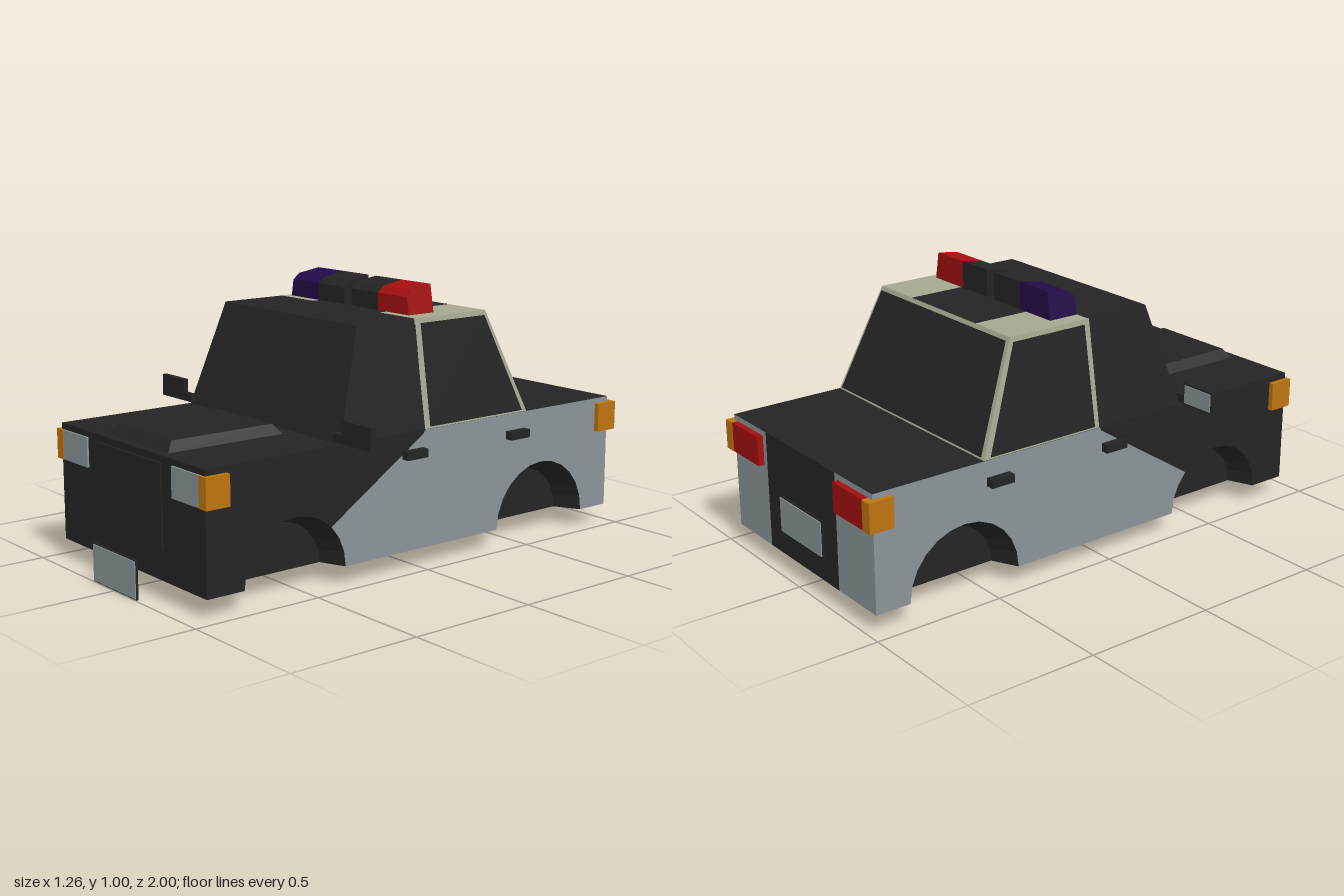
import * as THREE from 'three';

const mat = (name, color) => {
  const m = new THREE.MeshStandardMaterial({ color, side: THREE.DoubleSide, flatShading: true });
  m.name = name;
  return m;
};

export function createModel() {
  const black = mat('black paint', 0x242424);
  const grey = mat('grey paint', 0x8a9497);
  const cream = mat('cream roof', 0xa4a791);
  const red = mat('red lens', 0xa30f0f);
  const orange = mat('orange lens', 0xbe7410);
  const blue = mat('indigo lens', 0x230b48);

  const car = new THREE.Group();
  car.name = 'car';
  const add = (parent, name, geo, m) => {
    const mesh = new THREE.Mesh(geo, m);
    mesh.name = name;
    parent.add(mesh);
    return mesh;
  };
  // box given by its limits
  const box = (parent, name, m, x0, x1, y0, y1, z0, z1) =>
    add(parent, name, new THREE.BoxGeometry(x1 - x0, y1 - y0, z1 - z0), m)
      .position.set((x0 + x1) / 2, (y0 + y1) / 2, (z0 + z1) / 2);
  // convex flat face, corners anticlockwise from outside
  const face = (parent, name, m, pts) => {
    const g = new THREE.BufferGeometry();
    g.setAttribute('position', new THREE.Float32BufferAttribute(pts.flat(), 3));
    const index = [];
    for (let i = 1; i < pts.length - 1; i++) index.push(0, i, i + 1);
    g.setIndex(index);
    g.computeVertexNormals();
    return add(parent, name, g, m);
  };
  const flat = pts => new THREE.ShapeGeometry(new THREE.Shape(pts.map(p => new THREE.Vector2(...p))));
  // outline of [z, y] points facing +x
  const sidePanel = (parent, name, m, x, pts) =>
    add(parent, name, flat(pts.map(([z, y]) => [-z, y])).rotateY(Math.PI / 2).translate(x, 0, 0), m);

  const W = 0.457, B = 0.07, T = 0.505, F = 0.925, R = -0.975, WELL = 0.36, N = 12;
  const arches = [{ z: 0.56, r: 0.215, inner: 0.175 }, { z: -0.611, r: 0.228, inner: 0.18 }];
  const arc = (z, r, from = 0, to = N) => {
    const pts = [];
    for (let i = from; i <= to; i++) {
      const a = Math.PI * i / N;
      pts.push([z + r * Math.cos(a), B + r * Math.sin(a)]);
    }
    return pts;
  };
  const [fa, ra] = arches;

  // Everything that is the same on both sides
  const side = new THREE.Group();
  side.name = 'leftSide';
  sidePanel(side, 'frontFender', black, W,
    [[F, T], [F, B], ...arc(fa.z, fa.r, 0, 9), [-0.01, 0.49], [-0.02, T]]);
  sidePanel(side, 'doorsAndRearFender', grey, W,
    [[-0.02, T], [-0.01, 0.49], ...arc(fa.z, fa.r, 9, N), ...arc(ra.z, ra.r), [R, B], [R, T]]);

  // Tapered wheel wells
  for (const { z, r, inner } of arches) {
    const h = W - WELL;
    add(side, 'wheelWell', new THREE.CylinderGeometry(r, inner, h, N, 1, true, Math.PI, Math.PI)
      .rotateZ(-Math.PI / 2).translate(WELL + h / 2, B, z), black);
    sidePanel(side, 'wheelWellBack', black, WELL, arc(z, inner));
  }

  // Cabin side: point on the leaning side plane
  const C0 = 0.455, C1 = 0.39, ROOF = 0.893;
  const on = (z, y, off = 0) => [C0 - (y - T) * (C0 - C1) / (ROOF - T) + off, y, z];
  face(side, 'frontCabinSide', black, [on(0.367, T), on(-0.02, T), on(-0.02, ROOF), on(0.243, ROOF)]);
  face(side, 'rearCabinFrame', cream, [on(-0.02, T), on(-0.528, T), on(-0.367, ROOF), on(-0.02, ROOF)]);
  face(side, 'frontSideWindow', black,
    [on(0.345, 0.512, 0.004), on(-0.013, 0.512, 0.004), on(-0.02, 0.873, 0.004), on(0.23, 0.873, 0.004)]);
  face(side, 'rearSideWindow', black,
    [on(-0.042, 0.512, 0.004), on(-0.502, 0.512, 0.004), on(-0.358, 0.876, 0.004), on(-0.045, 0.876, 0.004)]);

  // Roof panel, lamps, handles, mirror
  face(side, 'roofPanel', cream,
    [[0.195, ROOF, -0.025], [C1, ROOF, -0.025], [C1, ROOF, -0.367], [0.195, ROOF, -0.367]]);
  box(side, 'headlight', grey, 0.27, 0.435, 0.373, 0.483, 0.91, 0.932);
  box(side, 'frontIndicator', orange, 0.435, 0.476, 0.373, 0.483, 0.84, 0.935);
  box(side, 'tailLight', red, 0.25, 0.432, 0.375, 0.485, -0.998, -0.96);
  box(side, 'rearIndicator', orange, 0.432, 0.476, 0.375, 0.485, -1, -0.905);
  for (const z of [-0.008, -0.517])
    box(side, 'doorHandle', black, 0.45, 0.487, 0.411, 0.442, z, z + 0.095);
  box(side, 'mirror', black, 0.48, 0.628, 0.513, 0.595, 0.362, 0.38);
  box(side, 'mirrorArm', black, 0.43, 0.48, 0.513, 0.545, 0.362, 0.38);
  box(side, 'mirrorGlass', grey, 0.488, 0.62, 0.52, 0.588, 0.358, 0.362);

  // Rear corner panel
  face(side, 'rearCorner', grey, [[W, B, R], [0.228, B, R], [0.228, T, R], [W, T, R]]);
  car.add(side);
  const other = side.clone();
  other.name = 'rightSide';
  other.scale.x = -1;
  car.add(other);

  // Body shell across the width
  face(car, 'deck', black, [[-W, T, F], [W, T, F], [W, T, R], [-W, T, R]]);
  face(car, 'nose', black, [[-W, B, F], [W, B, F], [W, T, F], [-W, T, F]]);
  face(car, 'trunkPanel', black, [[0.228, B, R], [-0.228, B, R], [-0.228, T, R], [0.228, T, R]]);
  const half = [[W, F]];
  for (const { z, r, inner } of arches)
    half.push([W, z + r], [WELL, z + inner], [WELL, z - inner], [W, z - r]);
  const mirrored = half.map(([x, z]) => [-x, z]).reverse();
  add(car, 'floor', flat([...half, ...mirrored]).rotateX(Math.PI / 2).translate(0, B, 0), black);
  const rz = ra.z - ra.r;
  face(car, 'rearFloor', grey, [[-W, B, R], [W, B, R], [W, B, rz], [-W, B, rz]]);

  // Cabin front, back and roof
  face(car, 'windshieldFrame', black, [[-C0, T, 0.367], [C0, T, 0.367], [C1, ROOF, 0.243], [-C1, ROOF, 0.243]]);
  face(car, 'windshield', black,
    [[-0.44, 0.52, 0.366], [0.44, 0.52, 0.366], [0.382, 0.873, 0.253], [-0.382, 0.873, 0.253]]);
  face(car, 'rearWindowFrame', cream,
    [[C0, T, -0.528], [-C0, T, -0.528], [-C1, ROOF, -0.367], [C1, ROOF, -0.367]]);
  face(car, 'rearWindow', black,
    [[0.44, 0.513, -0.529], [-0.44, 0.513, -0.529], [-0.38, 0.88, -0.377], [0.38, 0.88, -0.377]]);
  face(car, 'frontRoof', black, [[-C1, ROOF, 0.243], [C1, ROOF, 0.243], [C1, ROOF, -0.025], [-C1, ROOF, -0.025]]);
  face(car, 'middleRoof', black,
    [[-0.195, ROOF, -0.025], [0.195, ROOF, -0.025], [0.195, ROOF, -0.367], [-0.195, ROOF, -0.367]]);

  // Raised hood panel with bevelled edges
  const hood = new THREE.BoxGeometry(0.39, 0.036, 0.475);
  const hp = hood.attributes.position;
  for (let i = 0; i < hp.count; i++)
    if (hp.getY(i) > 0) hp.setXYZ(i, hp.getX(i) * 0.88, hp.getY(i), hp.getZ(i) * 0.88);
  add(car, 'hoodPanel', hood, black).position.set(0, T + 0.018, 0.655);

  // Grille and plates
  box(car, 'grille', black, -0.203, 0.203, 0.18, 0.48, 0.91, 0.932);
  box(car, 'frontPlateBack', black, -0.14, 0.14, 0, 0.14, 0.988, 0.996);
  box(car, 'frontPlate', grey, -0.133, 0.137, 0.005, 0.137, 0.996, 1);
  box(car, 'rearPlateBack', black, -0.14, 0.14, 0.158, 0.297, -0.981, -0.97);
  box(car, 'rearPlate', grey, -0.135, 0.135, 0.163, 0.292, -0.985, -0.981);

  // Light bar: one section run from x0 to x1, the outer end leaning in at the top
  const section = [[-0.037, 0.898], [-0.037, 0.962], [-0.064, 0.985], [-0.155, 1], [-0.155, 0.898]];
  const lamp = (name, m, s, x0, x1, lean) => {
    const shape = new THREE.Shape(section.map(([z, y]) => new THREE.Vector2(-z, y)));
    const g = new THREE.ExtrudeGeometry(shape, { depth: x1 - x0, bevelEnabled: false })
      .rotateY(Math.PI / 2).translate(x0, 0, 0);
    const p = g.attributes.position;
    for (let i = 0; i < p.count; i++)
      if (p.getX(i) > x1 - 1e-4) p.setX(i, x1 - lean * (p.getY(i) - 0.898) / 0.102);
    add(car, name, g, m).scale.x = s;
  };
  for (const [s, lens] of [[1, red], [-1, blue]]) {
    lamp('lightBarBase', black, s, 0.021, 0.172, 0);
    lamp('lightBarLens', lens, s, 0.172, 0.343, 0.018);
  }
  return car;
}
